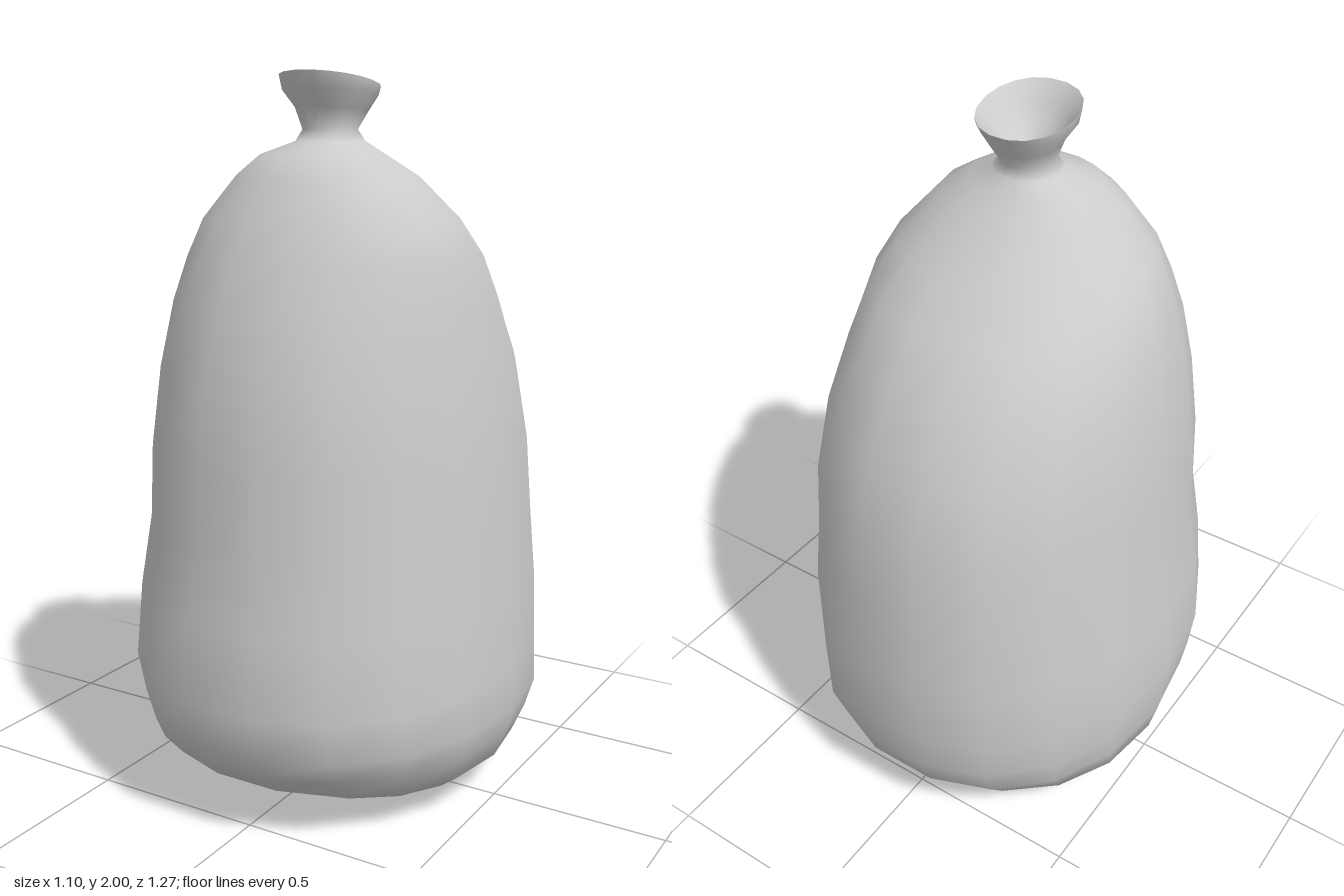
import * as THREE from 'three';

const SIDES = 18;

// Smooth skin through rounded rings: [y, xMin, xMax, zBack, zFront, front lift]
function loft(name, rings) {
  const pos = [], index = [];
  const soft = (v) => Math.sign(v) * Math.abs(v) ** 0.94;
  for (const [y, x0, x1, z0, z1, lift = 0] of rings) {
    for (let j = 0; j < SIDES; j++) {
      const t = (j / SIDES) * Math.PI * 2;
      const c = soft(Math.cos(t)), s = soft(Math.sin(t));
      pos.push((x0 + x1) / 2 + c * (x1 - x0) / 2, y + lift * s, (z0 + z1) / 2 + s * (z1 - z0) / 2);
    }
  }
  for (let i = 0; i < rings.length - 1; i++) {
    for (let j = 0; j < SIDES; j++) {
      const k = (j + 1) % SIDES;
      const a = i * SIDES + j, b = i * SIDES + k;
      index.push(a, a + SIDES, b, b, a + SIDES, b + SIDES);
    }
  }
  const geo = new THREE.BufferGeometry();
  geo.setAttribute('position', new THREE.Float32BufferAttribute(pos, 3));
  geo.setIndex(index);
  geo.computeVertexNormals();
  const mesh = new THREE.Mesh(geo, new THREE.MeshStandardMaterial({ color: 0xcccccc, side: THREE.DoubleSide }));
  mesh.name = name;
  return mesh;
}

export function createModel() {
  const group = new THREE.Group();
  group.name = 'tiedSack';

  const rim = [1.975, -0.115, 0.147, -0.043, 0.235, 0.025];

  // Filled body, gathered neck and flared mouth
  group.add(loft('sackBody', [
    [0.003, -0.01, 0.01, -0.11, -0.09],
    [0.015, -0.3, 0.3, -0.27, 0.16, 0.008],
    [0.055, -0.44, 0.42, -0.42, 0.38, 0.008],
    [0.115, -0.515, 0.49, -0.53, 0.5, 0.01],
    [0.19, -0.53, 0.52, -0.6, 0.58, 0.01],
    [0.27, -0.54, 0.545, -0.63, 0.62],
    [0.39, -0.55, 0.543, -0.638, 0.648],
    [0.6, -0.535, 0.53, -0.645, 0.63],
    [0.8, -0.505, 0.515, -0.612, 0.597],
    [1.0, -0.495, 0.5, -0.6, 0.588],
    [1.22, -0.465, 0.472, -0.535, 0.555],
    [1.4, -0.43, 0.435, -0.435, 0.498],
    [1.52, -0.39, 0.41, -0.335, 0.448],
    [1.62, -0.34, 0.365, -0.225, 0.4],
    [1.73, -0.235, 0.27, -0.1, 0.333],
    [1.785, -0.165, 0.18, -0.035, 0.275],
    [1.82, -0.075, 0.11, 0.005, 0.19],
    [1.85, -0.06, 0.085, 0.015, 0.165],
    [1.9, -0.08, 0.11, -0.01, 0.185, 0.01],
    [1.945, -0.11, 0.142, -0.035, 0.222, 0.01],
    rim,
  ]));

  // Hollow inside of the mouth
  group.add(loft('mouthLining', [
    rim,
    [1.94, -0.085, 0.115, -0.015, 0.195, 0.015],
    [1.895, -0.05, 0.075, 0.02, 0.16, 0.005],
    [1.875, 0.01, 0.015, 0.088, 0.092],
  ]));

  return group;
}
